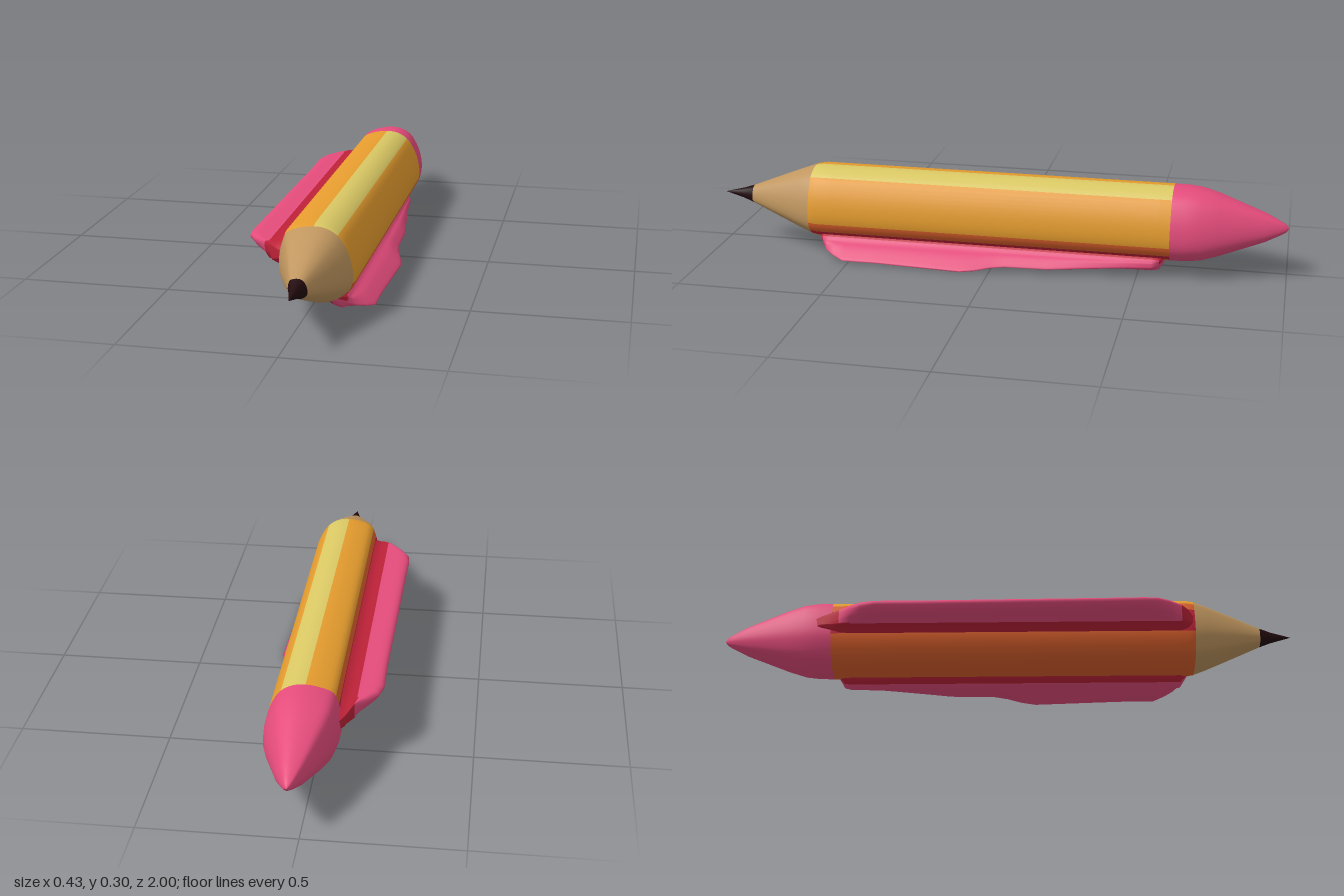
import * as THREE from 'three';

const mat = (name, color, side = THREE.FrontSide) => {
  const m = new THREE.MeshStandardMaterial({ color, side });
  m.name = name;
  return m;
};

// Skin a grid of closed rings (front to back, clockwise from the front).
// pick(i, j) gives the material index of each quad.
function skin(name, rings, materials, pick) {
  const n = rings[0].length;
  const faces = materials.map(() => []);
  for (let j = 0; j < rings.length - 1; j++) {
    for (let i = 0; i < n; i++) {
      const a = j * n + i, b = j * n + (i + 1) % n;
      faces[pick(i, j)].push(a, b, a + n, b, b + n, a + n);
    }
  }
  const g = new THREE.BufferGeometry();
  g.setAttribute('position', new THREE.Float32BufferAttribute(rings.flat(2), 3));
  g.setIndex(faces.flat());
  let start = 0;
  faces.forEach((f, k) => {
    g.addGroup(start, f.length, k);
    start += f.length;
  });
  g.computeVertexNormals();
  const mesh = new THREE.Mesh(g, materials);
  mesh.name = name;
  return mesh;
}

// Smooth closed outline with `sub` samples per control point
function smoothLoop(points, sub) {
  const curve = new THREE.CatmullRomCurve3(
    points.map(([x, y]) => new THREE.Vector3(x, y, 0)), true, 'centripetal');
  const n = points.length * sub;
  return Array.from({ length: n }, (_, i) => {
    const p = curve.getPoint(i / n);
    return [p.x, p.y];
  });
}

// Fin: section [along, across] swept in z, with a reach at each station.
// The root band keeps its width; the blade beyond it stretches to the reach.
// cuts: how far the root colour runs out on the two faces of the fin.
function fin(name, origin, angle, section, full, band, cuts, stations, materials) {
  const c = Math.cos(angle), s = Math.sin(angle);
  const loop = smoothLoop(section, 3);
  const n = loop.length;
  const along = (d, reach) => (d <= band ? Math.min(d, reach)
    : Math.min(reach, band) + (d - band) * Math.max(0, reach - band) / (full - band));
  const rings = stations.map(([z, reach]) => loop.map(([d, b]) => {
    const u = along(d, reach);
    const v = b * Math.min(1, Math.max(0.2, reach / band));
    return [origin[0] + u * c - v * s, origin[1] + u * s + v * c, z];
  }));
  return skin(name, rings, materials, (i, j) => {
    const p = loop[i], q = loop[(i + 1) % n];
    const r0 = stations[j][1], r1 = stations[j + 1][1];
    const mean = (along(p[0], r0) + along(q[0], r0) + along(p[0], r1) + along(q[0], r1)) / 4;
    return mean < (p[1] + q[1] > 0 ? cuts[0] : cuts[1]) ? 0 : 1;
  });
}

export function createModel() {
  const group = new THREE.Group();
  group.name = 'pencil';
  const orange = mat('orange paint', 0xe59c2e);
  const burnt = mat('burnt orange paint', 0xdc602c);
  const yellow = mat('pale yellow stripe', 0xdac864);
  const wood = mat('bare wood', 0xc0965f);
  const graphite = mat('graphite', 0x220a0e);
  const pink = mat('pink', 0xe54c7c, THREE.DoubleSide);
  const red = mat('crimson', 0xbe2238, THREE.DoubleSide);

  // Pencil shaft: rounded uneven section scaled about the axis
  const axis = [0.035, 0.18];
  const outline = [
    [0.03, 0.305], [0.07, 0.3], [0.108, 0.278], [0.133, 0.242], [0.15, 0.2],
    [0.158, 0.155], [0.156, 0.122], [0.146, 0.098], [0.115, 0.07], [0.07, 0.051],
    [0.03, 0.051], [-0.015, 0.062], [-0.055, 0.083], [-0.073, 0.113], [-0.085, 0.155],
    [-0.084, 0.2], [-0.075, 0.242], [-0.058, 0.28], [-0.02, 0.297],
  ];
  const loop = smoothLoop(outline, 3);
  const stations = [
    [1, 0], [0.97, 0.06], [0.93, 0.14], [0.89, 0.245], [0.8, 0.53], [0.7, 0.84],
    [0.655, 0.965], [0.63, 1], [0.58, 1], [-0.57, 1], [-0.61, 1], [-0.66, 0.995],
    [-0.71, 0.95], [-0.77, 0.81], [-0.85, 0.58], [-0.92, 0.38], [-0.97, 0.19],
    [-0.99, 0.1], [-1, 0],
  ];
  const rings = stations.map(([z, s]) => loop.map(([x, y]) =>
    [axis[0] + (x - axis[0]) * s, axis[1] + (y - axis[1]) * s, z]));
  const shaftColours = [graphite, wood, orange, yellow, red, pink, burnt];
  group.add(skin('pencilShaft', rings, shaftColours, (i, j) => {
    if (j < 3) return 0;
    if (j < 6) return 1;
    if (j >= 10) return 5;
    if (i < 6) return 3; // stripe
    if (i < 18 || i >= 50) return 2; // painted sides
    if (i === 22 || i === 23 || (i >= 42 && i < 48)) return 4; // fin roots
    return 6; // underside and the edge above the straight fin
  }));

  // Fin on the -x side, straight edged
  group.add(fin('rightFin', [-0.06, 0.2], Math.PI, [
    [-0.01, 0.05], [0.028, 0.044], [0.045, 0.034], [0.065, 0.027], [0.1, 0.018], [0.135, 0.006],
    [0.155, -0.015], [0.14, -0.027], [0.1, -0.029], [0.065, -0.029], [0.028, -0.032], [-0.01, -0.05],
  ], 0.155, 0.065, [0.065, 0.065], [
    [0.66, 0], [0.63, 0.05], [0.605, 0.08], [0.56, 0.125], [0.52, 0.15], [0.47, 0.155], [0.35, 0.152],
    [0, 0.147], [-0.3, 0.142], [-0.45, 0.143], [-0.5, 0.13], [-0.54, 0.1], [-0.58, 0.06],
    [-0.64, 0.035], [-0.7, 0],
  ], [red, pink]));

  // Fin on the +x side, drooping with a wavy edge
  group.add(fin('leftFin', [0.08, 0.07], -0.445, [
    [-0.02, 0.02], [0.035, 0.02], [0.055, 0.013], [0.085, 0.011], [0.12, 0.004],
    [0.146, -0.004], [0.12, -0.012], [0.085, -0.02], [0.055, -0.025], [0.018, -0.032], [-0.02, -0.02],
  ], 0.146, 0.05, [0.042, 0.012], [
    [0.64, 0], [0.61, 0.05], [0.59, 0.085], [0.56, 0.11], [0.52, 0.134], [0.4, 0.134], [0.2, 0.142],
    [0.1, 0.146], [0.05, 0.136], [0, 0.118], [-0.05, 0.107], [-0.2, 0.104], [-0.3, 0.09],
    [-0.45, 0.07], [-0.55, 0.062], [-0.575, 0.045], [-0.6, 0],
  ], [red, pink]));

  return group;
}
